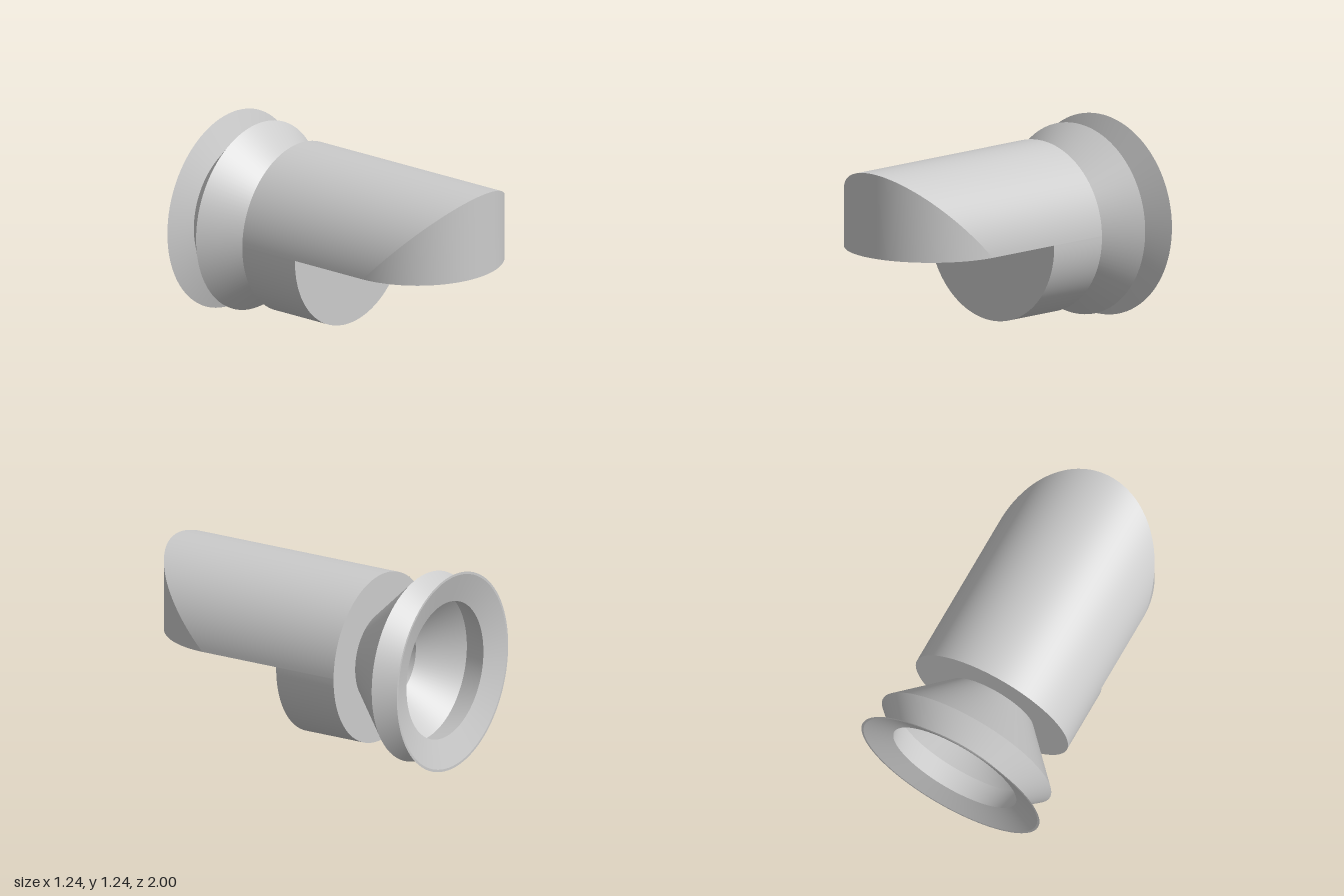
import * as THREE from 'three';

const CY = 0.622;     // height of the horizontal axis
const ZC = 0.468;     // centre of the rounded nose and of the port
const PORT = 0.34;    // radius of the port in the floor

const material = new THREE.MeshStandardMaterial({ color: 0xcccccc, side: THREE.DoubleSide });

function add(group, name, geometry) {
  const mesh = new THREE.Mesh(geometry, material);
  mesh.name = name;
  group.add(mesh);
  return mesh;
}

// Curved sheet: angle runs a0..a1, t runs 0..1 across the sheet
function sheet(a0, a1, rule) {
  const g = new THREE.PlaneGeometry(1, 1, 64, 1);
  const p = g.attributes.position;
  for (let i = 0; i < p.count; i++) {
    const a = a0 + (a1 - a0) * (p.getX(i) + 0.5);
    p.setXYZ(i, ...rule(a, p.getY(i) + 0.5));
  }
  g.computeVertexNormals();
  return g;
}

// One hollow-body skin: full round at the rear, vaulted upper half with a
// rounded nose at the front, flat floor with a round port
function bodySkin(name, R, floorY, zBack, zStep, boreR) {
  const group = new THREE.Group();
  group.name = name;
  const t = Math.asin((floorY - CY) / R);
  const cos = Math.cos, sin = Math.sin;

  add(group, 'vault', sheet(t, Math.PI - t, (a, v) =>
    [R * cos(a), CY + R * sin(a), zBack + v * (ZC + R * sin(a) - zBack)]));
  add(group, 'noseWall', sheet(t, Math.PI - t, (a, v) =>
    [R * cos(a), floorY + v * (CY + R * sin(a) - floorY), ZC + R * sin(a)]));
  add(group, 'lowerCollar', sheet(Math.PI - t, 2 * Math.PI + t, (a, v) =>
    [R * cos(a), CY + R * sin(a), zBack + v * (zStep - zBack)]));

  // Flat floor, drawn in x and z
  const floor = new THREE.Shape();
  floor.moveTo(-R * cos(t), zStep);
  floor.lineTo(R * cos(t), zStep);
  floor.absarc(0, ZC, R, t, Math.PI - t, false);
  floor.closePath();
  floor.holes.push(new THREE.Path().absarc(0, ZC, PORT, 0, 2 * Math.PI, true));
  add(group, 'floor', new THREE.ShapeGeometry(floor, 64).rotateX(Math.PI / 2)).position.y = floorY;

  // Face of the step below the floor
  const step = new THREE.Shape();
  step.absarc(0, 0, R, Math.PI - t, 2 * Math.PI + t, false);
  step.closePath();
  add(group, 'stepFace', new THREE.ShapeGeometry(step, 64)).position.set(0, CY, zStep);

  add(group, 'backPlate', new THREE.RingGeometry(boreR, R, 96).rotateY(Math.PI))
    .position.set(0, CY, zBack);
  return group;
}

export function createModel() {
  const model = new THREE.Group();
  model.name = 'suctionMouthpiece';

  // Body shell and its cavity
  model.add(bodySkin('outerBody', 0.532, 0.63, -0.48, -0.062, 0.25));
  model.add(bodySkin('innerCavity', 0.475, 0.685, -0.43, -0.117, 0.25));
  const wall = new THREE.CylinderGeometry(PORT, PORT, 0.055, 96, 1, true);
  add(model, 'portWall', wall).position.set(0, 0.6575, ZC);

  // Bellows cup: outer skin, rim, then inner skin and bore, as [radius, z].
  // Each stretch is its own lathe so that the folds stay sharp.
  const profile = [
    [0.29, -0.48], [0.592, -0.797], [0.445, -0.937], [0.622, -1], [0.607, -1],
    [0.43, -0.945], [0.467, -0.8], [0.25, -0.57], [0.25, -0.43],
  ];
  const cup = new THREE.Group();
  cup.name = 'bellowsCup';
  cup.position.y = CY;
  model.add(cup);
  const names = ['outerCone', 'outerFold', 'lipBack', 'rim', 'lipFront',
    'innerFold', 'innerCone', 'bore'];
  names.forEach((name, i) => {
    const points = [profile[i], profile[i + 1]].map(([r, z]) => new THREE.Vector2(r, -z));
    add(cup, name, new THREE.LatheGeometry(points, 96).rotateX(-Math.PI / 2));
  });

  return model;
}
